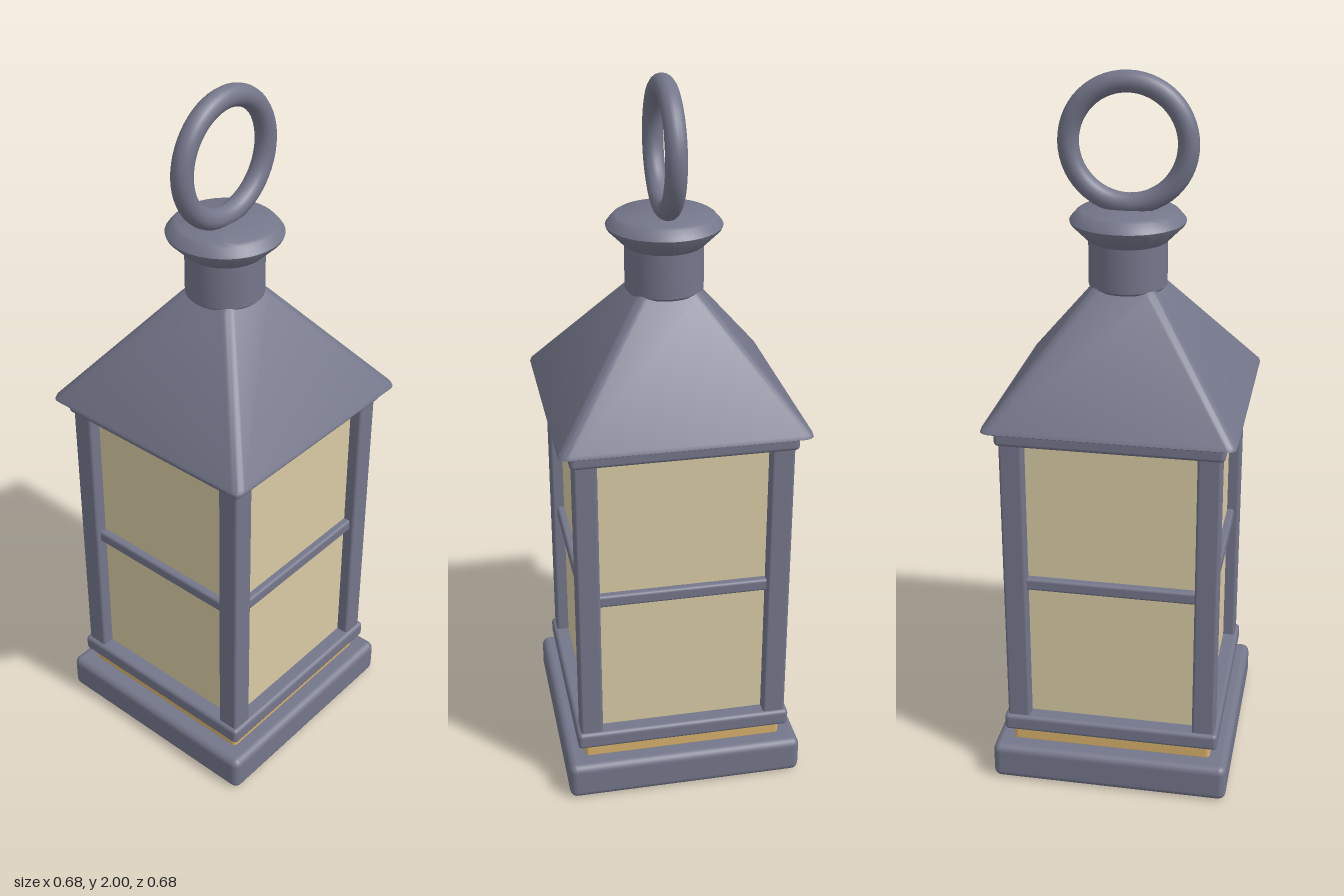
import * as THREE from 'three';
import { toCreasedNormals } from 'three/addons/utils/BufferGeometryUtils.js';
import { RoundedBoxGeometry } from 'three/addons/geometries/RoundedBoxGeometry.js';

const metal = new THREE.MeshStandardMaterial({ name: 'grey metal', color: 0x74768a });
const glass = new THREE.MeshStandardMaterial({ name: 'frosted glass', color: 0xd8caa4 });
const brass = new THREE.MeshStandardMaterial({ name: 'brass', color: 0xd6b06c });

function add(parent, name, geometry, material, x = 0, y = 0, z = 0) {
  const mesh = new THREE.Mesh(geometry, material);
  mesh.name = name;
  mesh.position.set(x, y, z);
  parent.add(mesh);
  return mesh;
}

// Square slab centred on the axis, between two heights
function slab(parent, name, half, y0, y1, radius, material) {
  const geo = new RoundedBoxGeometry(half * 2, y1 - y0, half * 2, 3, radius);
  return add(parent, name, geo, material, 0, (y0 + y1) / 2, 0);
}

// Rounded-square cross-section, running from +x towards +z
function roundedSquare(half, radius, y, steps = 5) {
  const points = [];
  for (let corner = 0; corner < 4; corner++) {
    const mid = (corner + 0.5) * Math.PI / 2;
    const c = (half - radius) * Math.SQRT2;
    for (let i = 0; i <= steps; i++) {
      const a = (corner + i / steps) * Math.PI / 2;
      points.push([Math.cos(mid) * c + Math.cos(a) * radius, y, Math.sin(mid) * c + Math.sin(a) * radius]);
    }
  }
  return points;
}

// Closed solid lofted through equal-length cross-sections, bottom to top
function loft(sections) {
  const n = sections[0].length;
  const positions = sections.flat(2);
  const index = [];
  for (let s = 0; s < sections.length - 1; s++) {
    for (let i = 0; i < n; i++) {
      const a = s * n + i, b = s * n + (i + 1) % n;
      index.push(a, a + n, b, b, a + n, b + n);
    }
  }
  const top = (sections.length - 1) * n;
  for (let i = 1; i < n - 1; i++) {
    index.push(0, i, i + 1, top, top + i + 1, top + i);
  }
  const geo = new THREE.BufferGeometry();
  geo.setAttribute('position', new THREE.Float32BufferAttribute(positions, 3));
  geo.setIndex(index);
  return toCreasedNormals(geo, 0.55);
}

function lathe(profile) {
  const points = profile.map(([r, y]) => new THREE.Vector2(r, y));
  return toCreasedNormals(new THREE.LatheGeometry(points, 40), 0.55);
}

export function createModel() {
  const lantern = new THREE.Group();
  lantern.name = 'lantern';

  // Base and lower frame
  slab(lantern, 'base', 0.341, 0, 0.11, 0.022, metal);
  slab(lantern, 'brassTrim', 0.288, 0.1, 0.155, 0.012, brass);
  slab(lantern, 'lowerFrame', 0.31, 0.15, 0.2, 0.012, metal);

  // Glass box with corner posts and cross rails
  add(lantern, 'glassPanes', new THREE.BoxGeometry(0.53, 0.88, 0.53), glass, 0, 0.63, 0);
  for (const x of [-1, 1]) {
    for (const z of [-1, 1]) {
      add(lantern, 'cornerPost', new RoundedBoxGeometry(0.064, 0.88, 0.064, 2, 0.008), metal, x * 0.268, 0.63, z * 0.268);
    }
  }
  for (let i = 0; i < 4; i++) {
    const side = new THREE.Group();
    side.name = 'crossRail';
    side.rotation.y = i * Math.PI / 2;
    add(side, 'rail', new RoundedBoxGeometry(0.5, 0.036, 0.036, 2, 0.008), metal, 0, 0.628, 0.268);
    lantern.add(side);
  }

  // Upper frame and pyramid roof
  slab(lantern, 'upperFrame', 0.31, 1.056, 1.105, 0.012, metal);
  add(lantern, 'roof', loft([
    roundedSquare(0.334, 0.022, 1.1),
    roundedSquare(0.341, 0.026, 1.104),
    roundedSquare(0.338, 0.026, 1.113),
    roundedSquare(0.092, 0.026, 1.425),
    roundedSquare(0.075, 0.022, 1.442),
  ]), metal);

  // Chimney neck and flared cap
  add(lantern, 'neck', lathe([
    [0, 1.425], [0.1, 1.425], [0.107, 1.432], [0.107, 1.57], [0, 1.57],
  ]), metal);
  add(lantern, 'cap', lathe([
    [0, 1.552], [0.104, 1.552], [0.11, 1.556], [0.154, 1.6], [0.157, 1.608],
    [0.152, 1.615], [0.138, 1.631], [0.128, 1.637], [0, 1.637],
  ]), metal);

  // Carrying ring
  add(lantern, 'carryingRing', new THREE.TorusGeometry(0.16, 0.029, 16, 56), metal, 0, 1.811, 0);

  return lantern;
}
